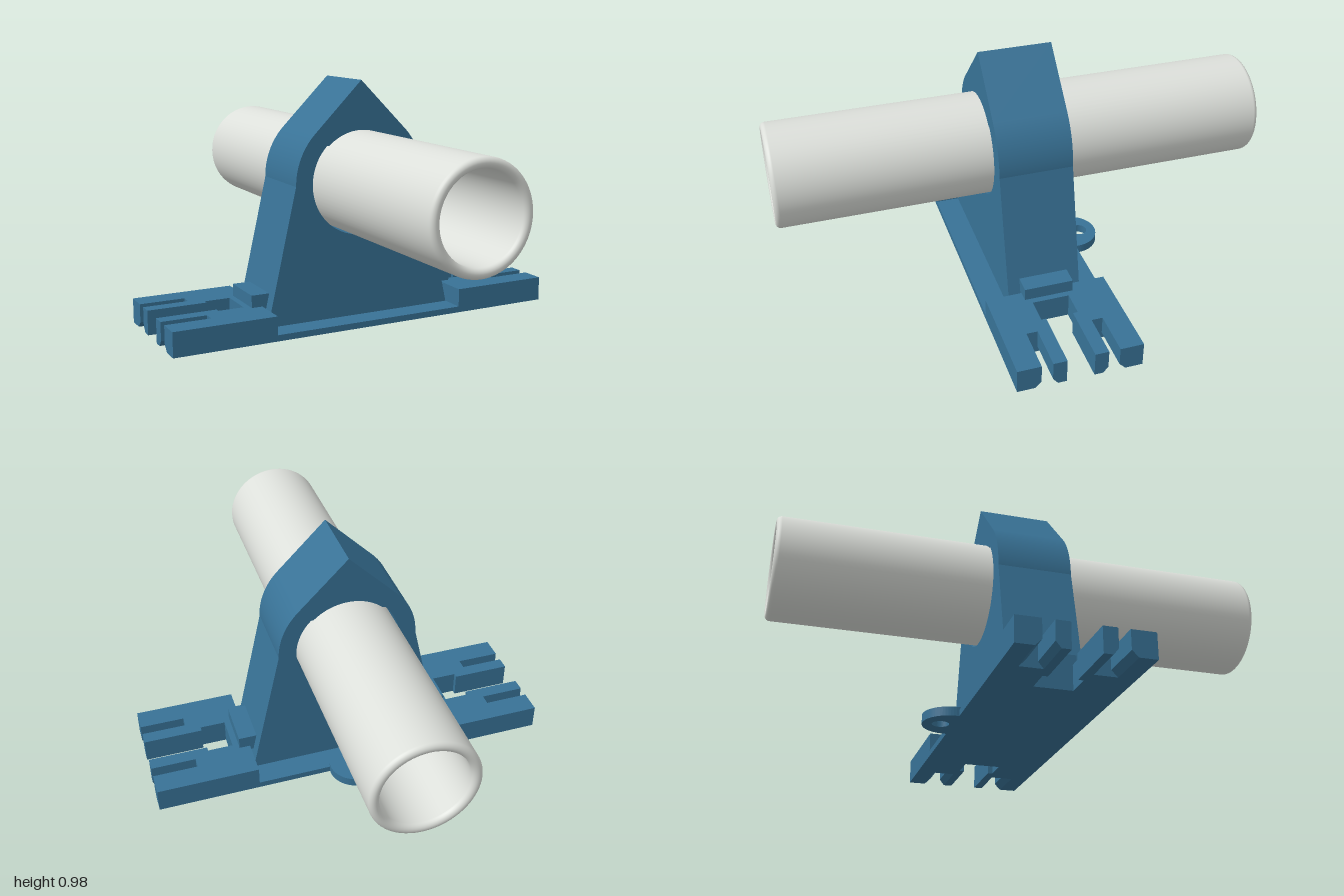
import * as THREE from 'three';

const blue = new THREE.MeshStandardMaterial({ color: 0x387296 });
blue.name = 'bracket blue';
const grey = new THREE.MeshStandardMaterial({ color: 0xdcdfda });
grey.name = 'pipe grey';

const AXIS_Y = 0.576; // height of the pipe axis

function part(name, geometry, material = blue) {
  const mesh = new THREE.Mesh(geometry, material);
  mesh.name = name;
  return mesh;
}

function polygon(points) {
  return new THREE.Shape(points.map(([x, y]) => new THREE.Vector2(x, y)));
}

function extrude(shape, depth, curveSegments = 32) {
  return new THREE.ExtrudeGeometry(shape, { depth, bevelEnabled: false, curveSegments });
}

// Upright with a teardrop opening
function upright() {
  const R = 0.287, r = 0.215, a = Math.PI / 4;
  const outline = new THREE.Shape();
  outline.moveTo(-0.415, 0.02);
  outline.lineTo(0.415, 0.02);
  outline.lineTo(R, AXIS_Y);
  outline.absarc(0, AXIS_Y, R, 0, a, false);
  outline.lineTo(0, AXIS_Y + R * Math.SQRT2);
  outline.absarc(0, AXIS_Y, R, Math.PI - a, Math.PI, false);
  outline.closePath();

  const hole = new THREE.Path();
  hole.moveTo(0, AXIS_Y + r * Math.SQRT2);
  hole.absarc(0, AXIS_Y, r, Math.PI - a, 2 * Math.PI + a, false);
  hole.closePath();
  outline.holes.push(hole);
  return part('upright', extrude(outline, 0.3, 48).translate(0, 0, -0.15));
}

// Slotted foot at the +x end
function foot() {
  const group = new THREE.Group();

  // Thick block with a stepped centre notch
  const block = polygon([
    [0.415, -0.25], [0.65, -0.25], [0.65, -0.055], [0.59, -0.055], [0.59, -0.075], [0.485, -0.075],
    [0.485, 0.075], [0.59, 0.075], [0.59, 0.055], [0.65, 0.055], [0.65, 0.25], [0.415, 0.25],
  ]);
  group.add(part('footBlock', extrude(block, 0.1).rotateX(-Math.PI / 2)));

  // Two pairs of prongs, chamfered below along their shared slot
  for (const s of [-1, 1]) {
    const profiles = {
      outerProng: [[0.155, 0.025], [0.18, 0], [0.25, 0], [0.25, 0.1], [0.155, 0.1]],
      innerProng: [[0.055, 0], [0.09, 0], [0.11, 0.025], [0.11, 0.1], [0.055, 0.1]],
    };
    for (const [name, points] of Object.entries(profiles)) {
      const shape = polygon(points.map(([z, y]) => [z * s, y]));
      group.add(part(name, extrude(shape, 0.185).rotateY(Math.PI / 2).translate(0.65, 0, 0)));
    }
  }

  // Raised stop beside the upright
  group.add(part('stop', new THREE.BoxGeometry(0.075, 0.07, 0.2).translate(0.4225, 0.115, 0)));
  return group;
}

// Round screw tab at the back
function tab() {
  const shape = new THREE.Shape();
  shape.absarc(0, 0.26, 0.11, 0, Math.PI * 2, false);
  const hole = new THREE.Path();
  hole.absarc(0, 0.298, 0.034, 0, Math.PI * 2, true);
  shape.holes.push(hole);
  return part('screwTab', extrude(shape, 0.036).rotateX(-Math.PI / 2));
}

// Hollow pipe with rounded rims
function pipe() {
  const outer = 0.208, wall = 0.04, half = 1, c = wall / 2, mid = outer - c;
  const profile = [];
  for (const end of [-1, 1]) {
    for (let i = 0; i <= 10; i++) {
      const t = (i / 10) * Math.PI;
      profile.push(new THREE.Vector2(mid - end * c * -Math.cos(t), end * (half - c + c * Math.sin(t))));
    }
  }
  profile.push(profile[0].clone());
  const geometry = new THREE.LatheGeometry(profile, 72).rotateX(Math.PI / 2).translate(0, AXIS_Y, 0);
  const mesh = part('pipe', geometry, grey);
  return mesh;
}

export function createModel() {
  const model = new THREE.Group();
  model.name = 'pipeBracket';

  model.add(part('basePlate', new THREE.BoxGeometry(0.83, 0.025, 0.5).translate(0, 0.0125, 0)));
  model.add(upright(), tab(), pipe());

  const leftFoot = foot();
  leftFoot.name = 'leftFoot';
  const rightFoot = foot();
  rightFoot.name = 'rightFoot';
  rightFoot.rotation.y = Math.PI;
  model.add(leftFoot, rightFoot);
  return model;
}
